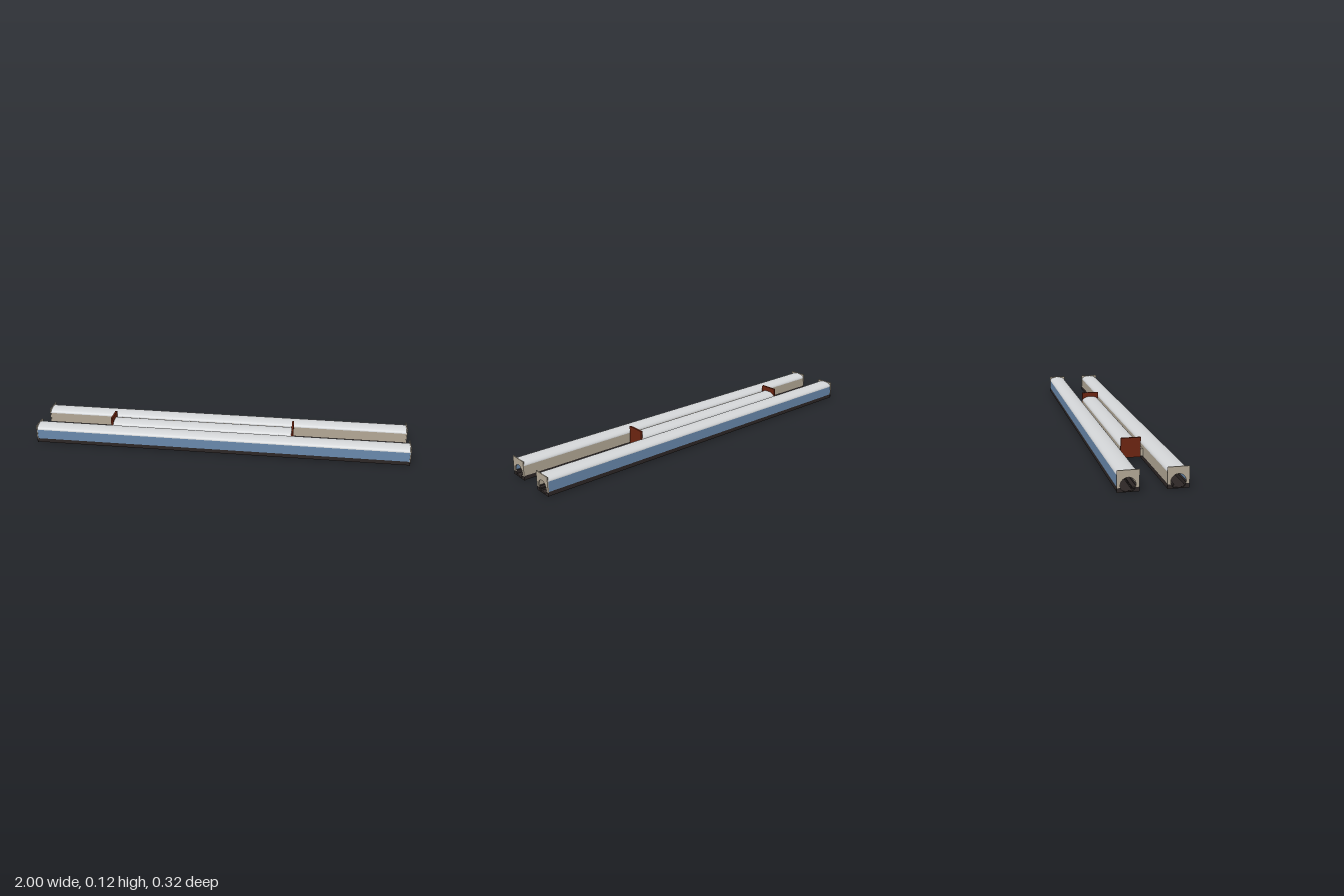
import * as THREE from 'three';

const mat = (name, color) => {
  const m = new THREE.MeshStandardMaterial({ color });
  m.name = name;
  return m;
};

export function createModel() {
  const model = new THREE.Group();
  model.name = 'twinRailAssembly';
  const grey = mat('lightGrey', 0xd2d4d6);
  const blue = mat('steelBlue', 0x6888ab);
  const beige = mat('beige', 0xb2a795);
  const brown = mat('rustBrown', 0x6c2410);
  const dark = mat('nearBlack', 0x2c2625);
  const slate = mat('darkGrey', 0x3a3a3a);

  const add = (parent, name, geometry, material) => {
    const mesh = new THREE.Mesh(geometry, material);
    mesh.name = name;
    parent.add(mesh);
    return mesh;
  };

  // Box given by its limits along each axis
  const box = (parent, name, material, x0, x1, y0, y1, z0, z1) => {
    const mesh = add(parent, name, new THREE.BoxGeometry(Math.abs(x1 - x0), y1 - y0, Math.abs(z1 - z0)), material);
    mesh.position.set((x0 + x1) / 2, (y0 + y1) / 2, (z0 + z1) / 2);
    return mesh;
  };

  // Cross-section drawn in (-z, y), swept from x0 to x1
  const sweep = (shape, x0, x1) =>
    new THREE.ExtrudeGeometry(shape, { depth: x1 - x0, bevelEnabled: false, curveSegments: 32 })
      .rotateY(Math.PI / 2).translate(x0, 0, 0);

  // Thin vaulted cover with a half-elliptic section
  const vault = (half, spring, rise, t) => {
    const s = new THREE.Shape();
    s.moveTo(half, spring);
    s.absellipse(0, spring, half, rise, 0, Math.PI, false);
    s.lineTo(-half + t, spring);
    s.absellipse(0, spring, half - t, rise - t, Math.PI, 0, true);
    s.closePath();
    return s;
  };

  // End plate upper part and foot, both cut by the round bore
  const bore = 0.034, boreY = 0.031, cut = 0.02, w = 0.049;
  const angle = Math.asin((cut - boreY) / bore);
  const edge = bore * Math.cos(angle);
  const plate = new THREE.Shape();
  plate.moveTo(w, cut);
  plate.lineTo(w, 0.097);
  plate.lineTo(-w, 0.097);
  plate.lineTo(-w, cut);
  plate.lineTo(-edge, cut);
  plate.absarc(0, boreY, bore, Math.PI - angle, angle, true);
  plate.closePath();

  const floorY = 0.003;
  const low = Math.asin((floorY - boreY) / bore);
  const foot = new THREE.Shape();
  foot.moveTo(-w, 0);
  foot.lineTo(w, 0);
  foot.lineTo(w, cut);
  foot.lineTo(edge, cut);
  foot.absarc(0, boreY, bore, angle, low, true);
  foot.lineTo(-bore * Math.cos(low), floorY);
  foot.absarc(0, boreY, bore, Math.PI - low, Math.PI - angle, true);
  foot.lineTo(-w, cut);
  foot.closePath();

  // Two long hollow rails, mirrored front to back
  for (const side of [1, -1]) {
    const rail = new THREE.Group();
    rail.name = side > 0 ? 'frontRail' : 'backRail';
    rail.position.z = side * 0.109;
    model.add(rail);
    add(rail, 'topCover', sweep(vault(0.047, 0.073, 0.022, 0.003), -0.995, 0.995), grey);
    box(rail, 'outerPanel', blue, -0.995, 0.995, 0.022, 0.073, side * 0.044, side * 0.047);
    box(rail, 'innerPanel', beige, -0.995, 0.995, 0.022, 0.073, -side * 0.047, -side * 0.044);
    // Dark channel under the rail
    box(rail, 'baseFloor', dark, -0.995, 0.995, 0.001, 0.004, -0.047, 0.047);
    box(rail, 'outerBaseWall', dark, -0.995, 0.995, 0.004, 0.022, side * 0.036, side * 0.047);
    box(rail, 'innerBaseWall', dark, -0.995, 0.995, 0.004, 0.022, -side * 0.047, -side * 0.036);
    box(rail, 'innerLip', dark, -0.998, 0.998, 0.013, 0.02, -side * 0.038, -side * 0.018);
    box(rail, 'lowerLip', dark, -0.998, 0.998, 0.003, 0.006, -side * 0.03, -side * 0.019);
    for (const x of [-1, 0.995]) {
      add(rail, 'endPlate', sweep(plate, x, x + 0.005), beige);
      add(rail, 'endPlateFoot', sweep(foot, x, x + 0.005), dark);
    }
  }

  // Shorter middle housing between the rails
  const middle = new THREE.Group();
  middle.name = 'middleHousing';
  model.add(middle);
  add(middle, 'middleCover', sweep(vault(0.047, 0.071, 0.022, 0.003), -0.6, 0.38), grey);
  box(middle, 'bottomPlate', slate, -0.6, 0.38, 0.02, 0.024, -0.061, 0.061);
  for (const side of [1, -1]) {
    box(middle, 'sidePanel', beige, -0.6, 0.38, 0.024, 0.071, side * 0.044, side * 0.047);
    // Connecting brackets at both ends of the housing
    for (const x of [-0.6, 0.34])
      box(middle, 'bracket', beige, x, x + 0.04, 0.021, 0.057, side * 0.047, side * 0.062);
  }
  for (const x of [-0.61, 0.38])
    box(middle, 'middleEndPlate', brown, x, x + 0.01, 0.021, 0.117, -0.048, 0.048);

  return model;
}
